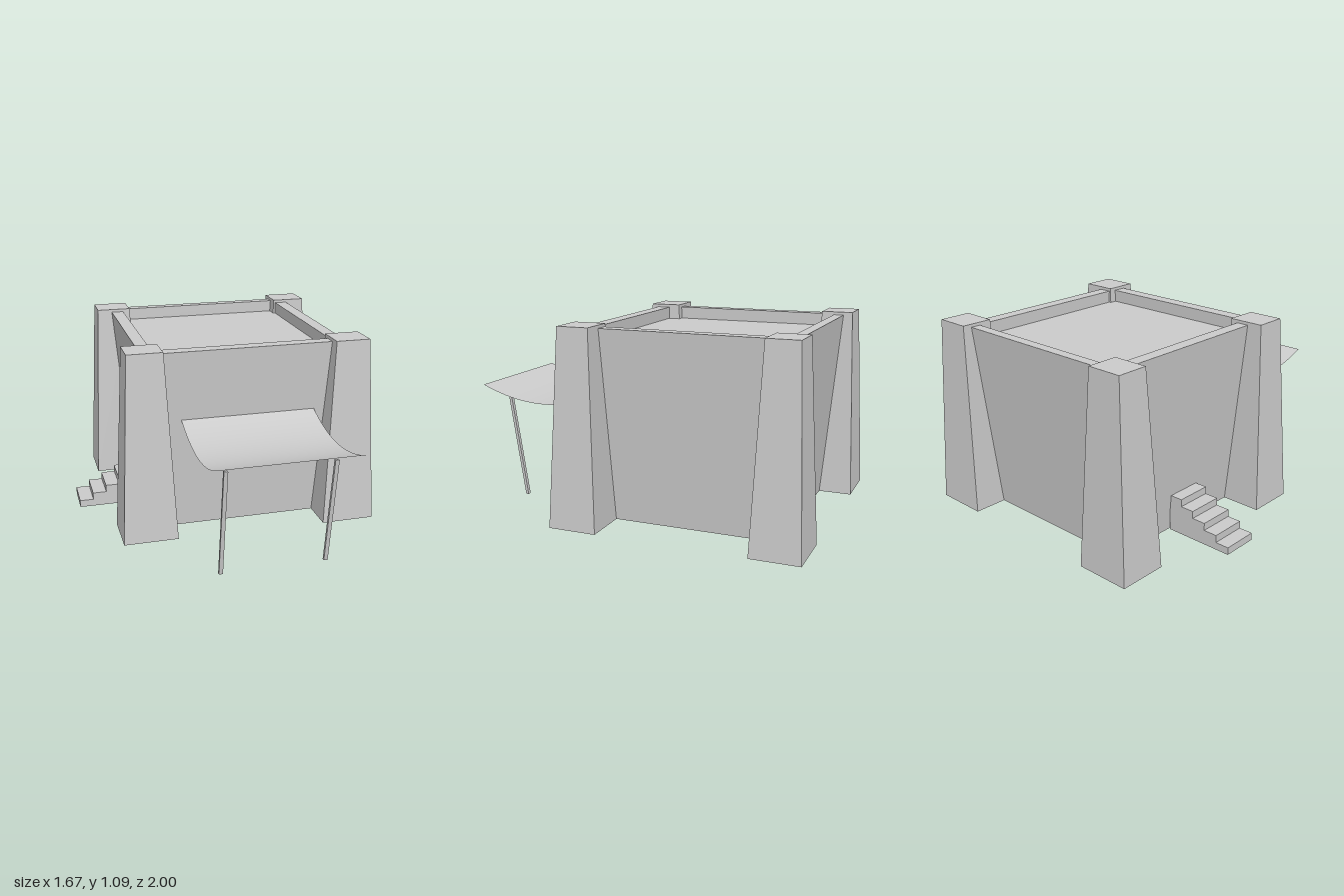
import * as THREE from 'three';

const material = new THREE.MeshStandardMaterial({ color: 0xcccccc, side: THREE.DoubleSide });
const flatMaterial = new THREE.MeshStandardMaterial({ color: 0xcccccc, side: THREE.DoubleSide, flatShading: true });

function addMesh(parent, name, geometry, mat = flatMaterial) {
  const mesh = new THREE.Mesh(geometry, mat);
  mesh.name = name;
  parent.add(mesh);
  return mesh;
}

// Skin over stacked rectangles [x0, x1, z0, z1, y]; open at the first, capped at the last
function rectLoft(loops) {
  const corners = loops.map(([x0, x1, z0, z1, y]) => [[x0, y, z1], [x1, y, z1], [x1, y, z0], [x0, y, z0]]);
  const pos = [];
  const quad = (a, b, c, d) => pos.push(...a, ...b, ...c, ...a, ...c, ...d);
  for (let i = 0; i + 1 < corners.length; i++) {
    for (let k = 0; k < 4; k++) {
      const n = (k + 1) % 4;
      quad(corners[i][k], corners[i][n], corners[i + 1][n], corners[i + 1][k]);
    }
  }
  quad(...corners[corners.length - 1]);
  const geometry = new THREE.BufferGeometry();
  geometry.setAttribute('position', new THREE.Float32BufferAttribute(pos, 3));
  geometry.computeVertexNormals();
  return geometry;
}

// Five steps climbing toward +x, hollow below
function buildStairs() {
  const stairs = new THREE.Group();
  stairs.name = 'stairs';
  const count = 5, start = -0.835, run = 0.081, rise = 0.042;
  const z0 = -0.408, z1 = -0.2, width = z1 - z0, zMid = (z0 + z1) / 2;
  const side = new THREE.Shape();
  side.moveTo(start, 0);
  for (let i = 0; i < count; i++) {
    const x = start + i * run, top = (i + 1) * rise;
    side.lineTo(x, top);
    side.lineTo(x + run, top);
    addMesh(stairs, 'riser', new THREE.PlaneGeometry(width, rise)
      .rotateY(-Math.PI / 2).translate(x, top - rise / 2, zMid));
    addMesh(stairs, 'tread', new THREE.PlaneGeometry(run, width)
      .rotateX(-Math.PI / 2).translate(x + run / 2, top, zMid));
  }
  side.lineTo(start + count * run, 0);
  for (const z of [z0, z1]) addMesh(stairs, 'stairSide', new THREE.ShapeGeometry(side).translate(0, 0, z));
  return stairs;
}

// Sagging cloth sheet on two leaning poles
function buildAwning() {
  const awning = new THREE.Group();
  awning.name = 'awning';
  const zWall = 0.222, zEnd = 1, length = zEnd - zWall;
  const cloth = new THREE.PlaneGeometry(0.784, length, 1, 20).rotateX(-Math.PI / 2);
  cloth.translate(0.102, 0, (zWall + zEnd) / 2);
  const p = cloth.attributes.position;
  for (let i = 0; i < p.count; i++) {
    const t = (p.getZ(i) - zWall) / length;
    p.setY(i, 0.677 - 0.085 * 4 * t * (1 - t));
  }
  cloth.computeVertexNormals();
  addMesh(awning, 'cloth', cloth, material);
  for (const x of [-0.215, 0.373]) {
    addMesh(awning, 'pole', rectLoft([
      [x - 0.011, x + 0.011, 0.793, 0.81, 0],
      [x - 0.011, x + 0.011, 0.89, 0.907, 0.625],
    ]));
  }
  return awning;
}

export function createModel() {
  const model = new THREE.Group();
  model.name = 'fortHouse';

  // Outward leaning walls, parapet ledge and sunken roof in one skin
  addMesh(model, 'wallsAndRoof', rectLoft([
    [-0.42, 0.57, -0.81, 0.183, 0],
    [-0.512, 0.662, -0.902, 0.275, 1.07],
    [-0.44, 0.588, -0.845, 0.2, 1.07],
    [-0.44, 0.588, -0.845, 0.2, 1.0],
  ]));

  // Tapered corner towers: x and z ranges at the base and at the top
  const right = [[-0.655, -0.343], [-0.6, -0.398]];
  const left = [[0.523, 0.833], [0.578, 0.778]];
  const back = [[-1, -0.728], [-0.953, -0.775]];
  const towers = {
    backRightTower: [right, back],
    backLeftTower: [left, back],
    frontRightTower: [right, [[0.09, 0.363], [0.135, 0.315]]],
    frontLeftTower: [left, [[0.115, 0.387], [0.16, 0.34]]],
  };
  for (const [name, [xs, zs]] of Object.entries(towers)) {
    addMesh(model, name, rectLoft([[...xs[0], ...zs[0], 0], [...xs[1], ...zs[1], 1.087]]));
  }

  model.add(buildStairs(), buildAwning());
  return model;
}
